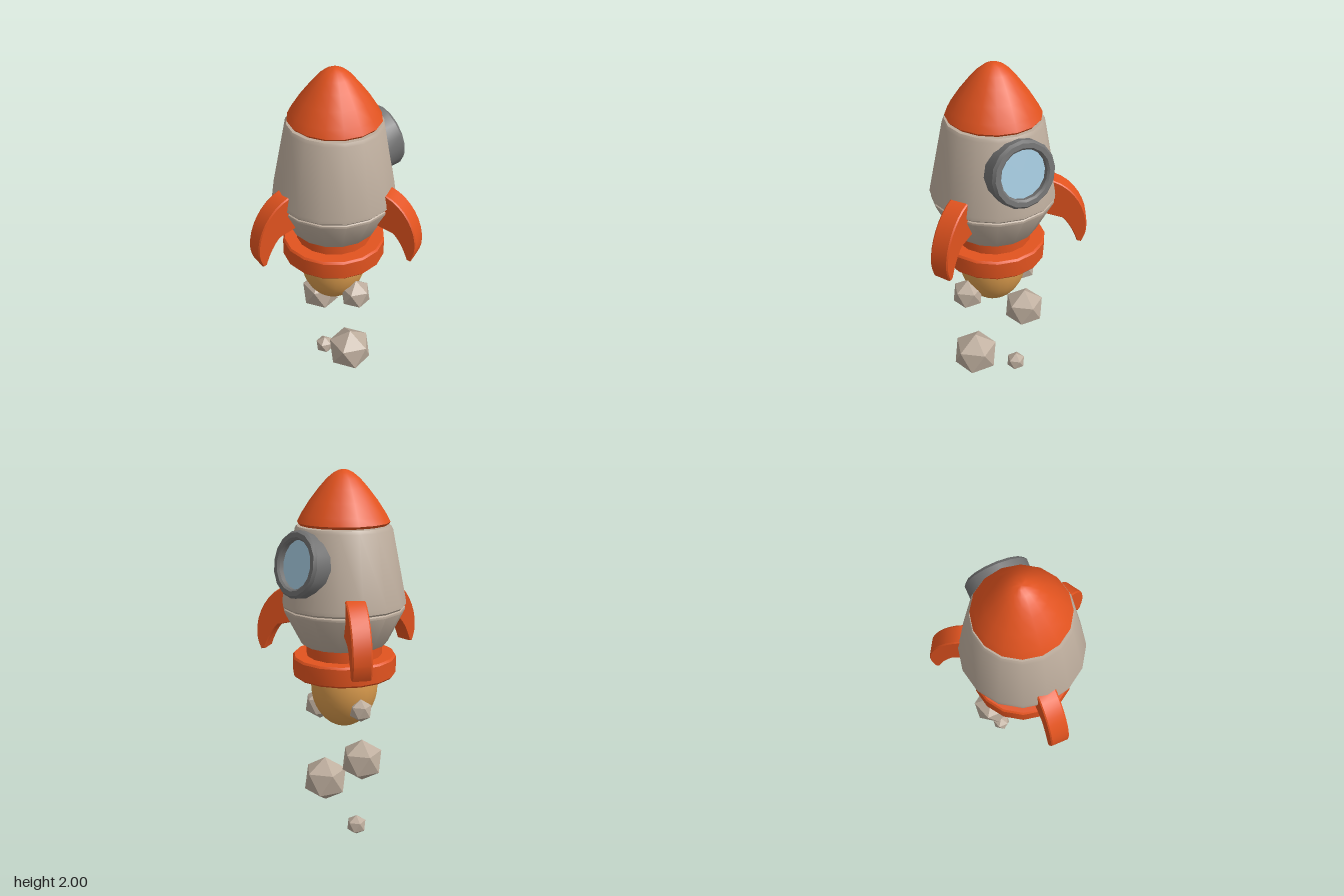
import * as THREE from 'three';
import { toCreasedNormals } from 'three/addons/utils/BufferGeometryUtils.js';

const paint = (color, flatShading = false) => new THREE.MeshStandardMaterial({ color, flatShading });
const hull = paint(0xbcac9c), orange = paint(0xe2531f), steel = paint(0x727272);
const glass = paint(0xa6cbe0), fire = paint(0xd99a4c), rock = paint(0xbcac9c, true);

function add(parent, name, geometry, material) {
  const mesh = new THREE.Mesh(geometry, material);
  mesh.name = name;
  parent.add(mesh);
  return mesh;
}

// Turned part: 16 sides, smooth round the axis, sharp at profile corners
function turned(profile, sides = 16) {
  const points = profile.map(([r, y]) => new THREE.Vector2(r, y));
  return toCreasedNormals(new THREE.LatheGeometry(points, sides), 0.6);
}

export function createModel() {
  const model = new THREE.Group();
  model.name = 'rocket';
  const ship = new THREE.Group();
  ship.name = 'ship';
  ship.position.x = 0.062;
  model.add(ship);

  // Nose cone and the two hull sections
  add(ship, 'noseCone', turned([
    [0, 1.722], [0.232, 1.722], [0.243, 1.735], [0.222, 1.775], [0.176, 1.845], [0.125, 1.91],
    [0.085, 1.955], [0.05, 1.983], [0.022, 1.996], [0, 2],
  ]), orange);
  add(ship, 'upperHull', turned([
    [0, 1.3], [0.322, 1.295], [0.331, 1.305], [0.329, 1.325], [0.256, 1.7], [0.246, 1.717], [0, 1.72],
  ]), hull);
  add(ship, 'lowerHull', turned([
    [0, 1.09], [0.225, 1.09], [0.236, 1.1], [0.326, 1.277], [0.325, 1.288], [0.315, 1.295], [0, 1.3],
  ]), hull);

  // Engine: neck, hollow collar and flame
  add(ship, 'engineNeck', turned([[0, 0.98], [0.205, 0.98], [0.205, 1.092], [0, 1.092]]), orange);
  add(ship, 'engineCollar', turned([
    [0.215, 0.915], [0.272, 0.915], [0.281, 0.925], [0.281, 1.015], [0.272, 1.026],
    [0.2, 1.026], [0.215, 0.915],
  ]), orange);
  const flame = add(ship, 'flame', new THREE.SphereGeometry(0.183, 24, 18), fire);
  flame.scale.y = 1.3;
  flame.position.y = 0.85;

  // Porthole on the sloping hull wall
  const porthole = new THREE.Group();
  porthole.name = 'porthole';
  porthole.position.set(0.331, 1.55, 0);
  porthole.rotation.z = -THREE.MathUtils.degToRad(79);
  ship.add(porthole);
  add(porthole, 'portholeFrame', turned([
    [0.13, -0.12], [0.17, -0.12], [0.172, -0.015], [0.16, 0], [0.136, 0], [0.126, -0.01], [0.13, -0.12],
  ]), steel);
  const pane = add(porthole, 'portholeGlass', new THREE.CylinderGeometry(0.135, 0.135, 0.02, 16), glass);
  pane.position.y = -0.045;

  // Three swept fins
  const outline = new THREE.Shape();
  outline.moveTo(0.24, 1.385);
  outline.lineTo(0.31, 1.385);
  outline.bezierCurveTo(0.42, 1.35, 0.5, 1.22, 0.495, 1.1);
  outline.quadraticCurveTo(0.492, 1.06, 0.472, 1.018);
  outline.lineTo(0.45, 1.022);
  outline.quadraticCurveTo(0.415, 1.12, 0.365, 1.165);
  outline.lineTo(0.24, 1.197);
  outline.closePath();
  const blade = new THREE.ExtrudeGeometry(outline, {
    depth: 0.088, curveSegments: 8, bevelSize: 0.005, bevelThickness: 0.007, bevelOffset: -0.005, bevelSegments: 1,
  });
  blade.translate(0, 0, -0.044);
  const finGeometry = toCreasedNormals(blade, 0.5);
  for (let i = 0; i < 3; i++) {
    add(ship, 'fin', finGeometry, orange).rotation.y = Math.PI / 3 + (i * 2 * Math.PI) / 3;
  }

  // Trailing smoke lumps: y, z, radius, each standing on a corner
  const lump = new THREE.IcosahedronGeometry(1, 0);
  lump.rotateZ(-Math.atan(2 / (1 + Math.sqrt(5))));
  for (const [y, z, r] of [
    [0.695, 0.173, 0.089], [0.75, -0.177, 0.064], [0.468, -0.188, 0.118], [0.243, 0.13, 0.133], [0.057, -0.143, 0.057],
  ]) {
    const puff = add(model, 'smokePuff', lump, rock);
    puff.position.set(0.098, y, z);
    puff.scale.setScalar(r);
  }
  return model;
}
